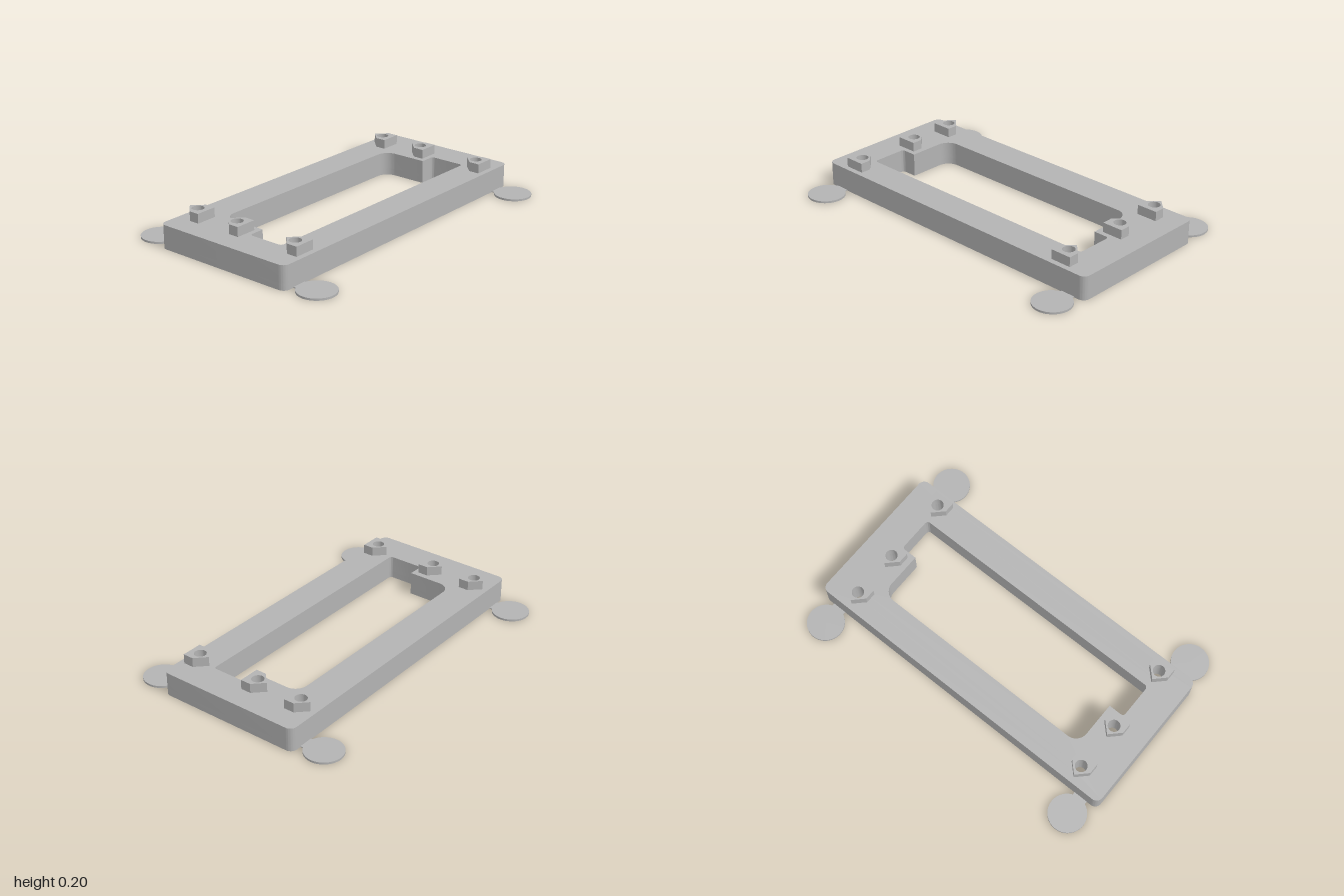
import * as THREE from 'three';
import { toCreasedNormals } from 'three/addons/utils/BufferGeometryUtils.js';

const FRAME_TOP = 0.14, BOSS_TOP = 0.196, SINK_DEPTH = 0.04;
const BORE = 0.035, SINK = 0.065;
const SCREWS = [-1, 1].flatMap(s => [-0.352, -0.059, 0.352].map(z => [s * 0.807, z]));

// Closed outline from [x, z, cornerRadius] points; the plan is drawn with shape y = -z
function outline(points, Type = THREE.Shape) {
  const shape = new Type();
  const P = points.map(([x, z]) => new THREE.Vector2(x, -z));
  points.forEach(([, , r = 0], i) => {
    const p = P[i];
    const toward = q => q.clone().sub(p).setLength(r).add(p);
    const a = toward(P[(i + P.length - 1) % P.length]);
    const b = toward(P[(i + 1) % P.length]);
    if (i === 0) shape.moveTo(a.x, a.y); else shape.lineTo(a.x, a.y);
    if (r > 0) {
      // Cubic handles of 0.5523 r make a quarter circle
      const c = a.clone().lerp(p, 0.5523), d = b.clone().lerp(p, 0.5523);
      shape.bezierCurveTo(c.x, c.y, d.x, d.y, b.x, b.y);
    }
  });
  shape.closePath();
  return shape;
}

function circleHole(x, z, r) {
  const path = new THREE.Path();
  path.absarc(x, -z, r, 0, Math.PI * 2, true);
  return path;
}

// Extrude a plan shape upward from y0 to y1
function slab(shape, y0, y1) {
  const geo = new THREE.ExtrudeGeometry(shape, { depth: y1 - y0, bevelEnabled: false, curveSegments: 16 });
  geo.rotateX(-Math.PI / 2).translate(0, y0, 0);
  return toCreasedNormals(geo, Math.PI / 6);
}

// Rounded rectangle with a stepped opening and six screw holes
function framePlan(holeRadius) {
  const plan = outline([[-1, 0.447, 0.04], [1, 0.447, 0.04], [1, -0.447, 0.04], [-1, -0.447, 0.04]]);
  plan.holes.push(outline([
    [-0.71, -0.25, 0.075], [0.71, -0.25, 0.075], [0.71, 0.033], [0.807, 0.033, 0.02],
    [0.807, 0.255, 0.02], [-0.807, 0.255, 0.02], [-0.807, 0.033, 0.02], [-0.71, 0.033],
  ], THREE.Path));
  for (const [x, z] of SCREWS) plan.holes.push(circleHole(x, z, holeRadius));
  return plan;
}

export function createModel() {
  const model = new THREE.Group();
  model.name = 'mountingFrame';
  const grey = new THREE.MeshStandardMaterial({ color: 0xb3b3b3, side: THREE.DoubleSide });
  grey.name = 'plainGrey';

  const add = (name, geometry, x = 0, y = 0, z = 0) => {
    const mesh = new THREE.Mesh(geometry, grey);
    mesh.name = name;
    mesh.position.set(x, y, z);
    model.add(mesh);
  };

  // Frame: lower layer has the wide countersink openings, upper layer the bores
  add('frameBase', slab(framePlan(SINK), 0, SINK_DEPTH));
  add('frameBody', slab(framePlan(BORE), SINK_DEPTH, FRAME_TOP));

  // House-shaped bosses pointing to the back, with conical countersinks below
  const h = 0.063;
  const bossPlan = outline([[-h, h], [h, h], [h, 0], [0, -h], [-h, 0]]);
  bossPlan.holes.push(circleHole(0, 0, BORE));
  const bossGeo = slab(bossPlan, FRAME_TOP, BOSS_TOP);
  const sinkGeo = new THREE.CylinderGeometry(BORE, SINK, SINK_DEPTH, 32, 1, true);
  for (const [x, z] of SCREWS) {
    add('screwBoss', bossGeo, x, 0, z);
    add('countersink', sinkGeo, x, SINK_DEPTH / 2, z);
  }

  // Thin corner discs, each joined to the frame by a thinner neck
  const discGeo = new THREE.CylinderGeometry(0.11, 0.11, 0.012, 48);
  const neckGeo = new THREE.BoxGeometry(0.085, 0.005, 0.06);
  for (const sx of [-1, 1]) for (const sz of [-1, 1]) {
    add('cornerDisc', discGeo, sx * 0.89, 0.006, sz * 0.567);
    add('discNeck', neckGeo, sx * 0.89, 0.0026, sz * 0.465);
  }
  return model;
}
